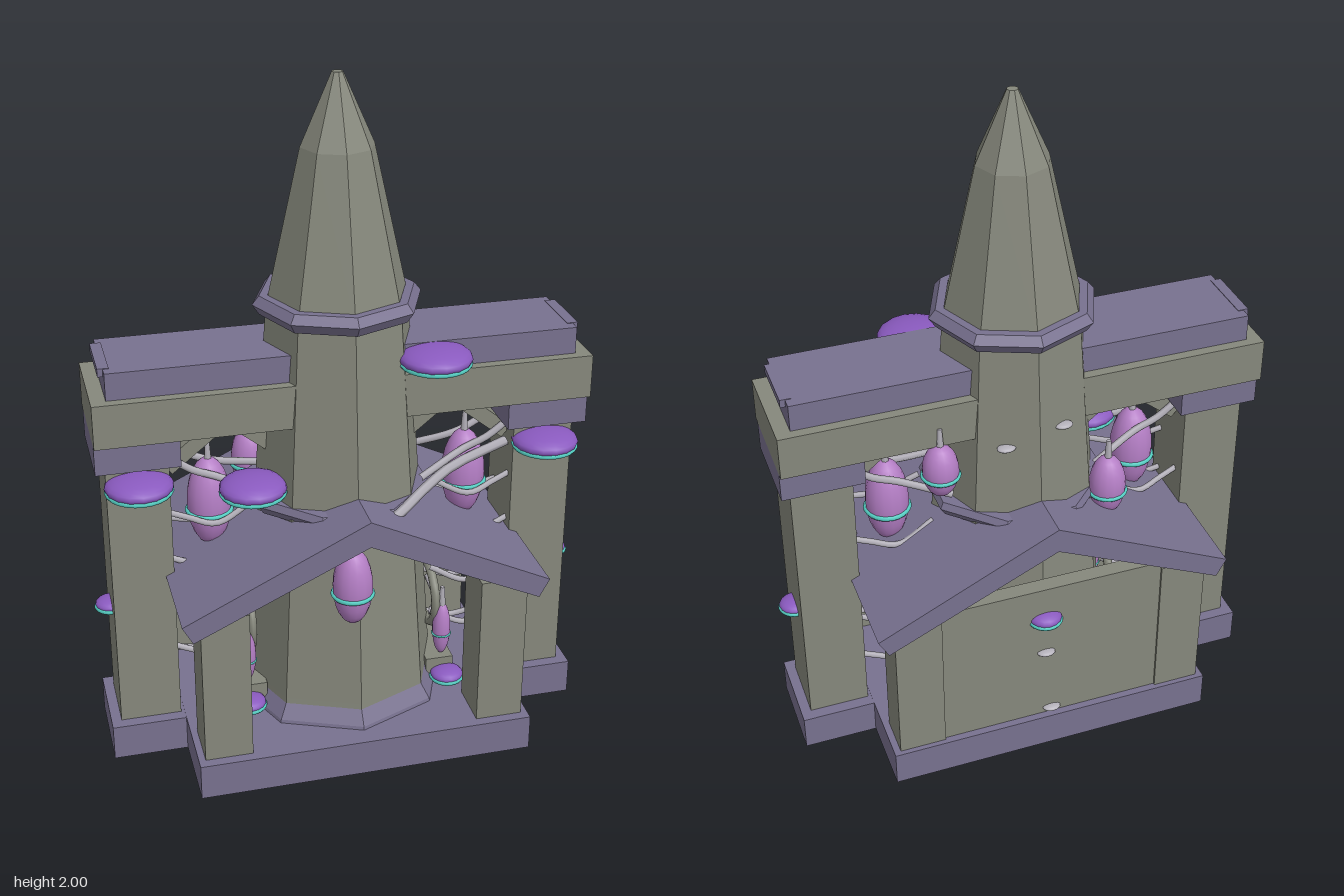
import * as THREE from 'three';

const mat = (name, color) => Object.assign(new THREE.MeshStandardMaterial({ color }), { name });

export function createModel() {
  const root = new THREE.Group();
  root.name = 'overgrownShrine';
  const stone = mat('stone', 0x86887c);
  const slate = mat('slate', 0x78718f);
  const violet = mat('violetCap', 0x8a5abf);
  const pink = mat('pinkPod', 0xb57fc6);
  const teal = mat('tealGlow', 0x55cfc4);
  const pale = mat('paleVine', 0xb3b0b9);

  const add = (name, geo, material, x = 0, y = 0, z = 0, parent = root) => {
    const m = new THREE.Mesh(geo, material);
    m.name = name;
    m.position.set(x, y, z);
    parent.add(m);
    return m;
  };
  // Box given by its minimum and maximum corners
  const box = (name, material, x0, x1, y0, y1, z0, z1) =>
    add(name, new THREE.BoxGeometry(x1 - x0, y1 - y0, z1 - z0), material,
      (x0 + x1) / 2, (y0 + y1) / 2, (z0 + z1) / 2);
  // Faceted eight-sided solid from [radius, height] pairs
  const octagon = (name, material, profile, turn = 0) => {
    const pts = profile.map(([r, y]) => new THREE.Vector2(r, y));
    const g = new THREE.LatheGeometry(pts, 8).toNonIndexed();
    g.computeVertexNormals();
    add(name, g, material).rotation.y = turn;
  };
  const ellipsoid = (rx, ry, rz) => new THREE.SphereGeometry(1, 16, 12).scale(rx, ry, rz);
  const vine = (name, points, radius = 0.01) => {
    const curve = new THREE.CatmullRomCurve3(points.map(p => new THREE.Vector3(...p)));
    add(name, new THREE.TubeGeometry(curve, 14, radius, 6), pale);
  };
  // Flat shelf fungus with a glowing band
  const fungus = (x, y, z, r, h) => {
    const g = new THREE.Group();
    g.name = 'shelfFungus';
    g.position.set(x, y, z);
    add('fungusCap', ellipsoid(r, h, r), violet, 0, 0, 0, g);
    const band = new THREE.TorusGeometry(r * 0.93, 0.007, 6, 24).rotateX(Math.PI / 2);
    add('fungusBand', band, teal, 0, -h * 0.4, 0, g);
    root.add(g);
  };
  // Hanging pod with a glowing band and a stem
  const pod = (x, y, z, r, h) => {
    const g = new THREE.Group();
    g.name = 'hangingPod';
    g.position.set(x, y, z);
    add('podBody', ellipsoid(r, h, r), pink, 0, 0, 0, g);
    const band = new THREE.TorusGeometry(r * 0.98, r * 0.12, 6, 24).rotateX(Math.PI / 2);
    add('podBand', band, teal, 0, -h * 0.2, 0, g);
    add('podStem', new THREE.CylinderGeometry(0.007, 0.012, 0.07, 6), pale, 0, h + 0.02, 0, g);
    root.add(g);
  };

  // Central tower with spire and collars
  octagon('tower', stone, [[0, 0.1], [0.3, 0.12], [0.295, 0.18], [0.25, 0.78],
    [0.207, 1.35], [0.105, 1.8], [0.016, 2], [0, 2]]);
  octagon('towerSkirt', slate, [[0, 0.1], [0.33, 0.1], [0.325, 0.12], [0.285, 0.18], [0, 0.18]]);
  octagon('upperCollar', slate, [[0.2, 1.33], [0.225, 1.33], [0.245, 1.36], [0.225, 1.385], [0.2, 1.385]]);
  octagon('lowerCollar', slate, [[0.23, 0.75], [0.265, 0.755], [0.281, 0.78], [0.27, 0.8], [0.23, 0.8]],
    Math.PI / 8);

  // Base, back wall and lintel
  box('base', slate, -0.5, 0.5, 0, 0.11, -0.37, 0.385);
  box('backWall', stone, -0.35, 0.35, 0.11, 0.6, -0.348, -0.3);
  box('lintel', stone, -0.72, 0.72, 1.04, 1.17, -0.155, 0.155);

  // Gabled roof
  const gable = new THREE.Shape([[0, 0.843], [-0.535, 0.585], [-0.505, 0.53], [0, 0.765],
    [0.505, 0.53], [0.535, 0.585]].map(p => new THREE.Vector2(...p)));
  add('gableRoof', new THREE.ExtrudeGeometry(gable, { depth: 0.77, bevelEnabled: false }),
    slate, 0, 0, -0.385);

  for (const s of [-1, 1]) {
    const sideBox = (name, m, x0, x1, ...rest) =>
      box(name, m, Math.min(s * x0, s * x1), Math.max(s * x0, s * x1), ...rest);
    // Great side pillars
    sideBox('pillarFoot', slate, 0.49, 0.72, 0, 0.109, -0.135, 0.135);
    sideBox('pillar', stone, 0.51, 0.69, 0.1, 0.96, -0.1, 0.1);
    sideBox('pillarCapital', slate, 0.48, 0.72, 0.95, 1.04, -0.132, 0.132);
    sideBox('lintelCap', slate, 0.15, 0.677, 1.17, 1.25, -0.125, 0.125);
    sideBox('lintelCapEnd', slate, 0.66, 0.692, 1.228, 1.252, -0.092, 0.092);

    // Corner posts under the roof
    for (const [z0, z1] of [[0.21, 0.355], [-0.355, -0.23]])
      sideBox('cornerPost', stone, 0.34, 0.48, 0.1, 0.58, z0, z1);

    // Diagonal braces under the lintel
    for (const d of [-1, 1]) {
      const brace = add('brace', new THREE.BoxGeometry(0.24, 0.045, 0.08), stone,
        s * (0.33 + d * 0.085), 0.975, 0);
      brace.rotation.z = -s * d * 0.68;
    }

    // Round side niche with its sill
    add('nicheRing', new THREE.TorusGeometry(0.1, 0.014, 6, 20).rotateY(Math.PI / 2),
      stone, s * 0.285, 0.36, 0);
    sideBox('nicheSill', stone, 0.25, 0.335, 0.1, 0.19, -0.12, 0.13);

    // Ribs of vine between pillar and tower
    for (let i = 0; i < 8; i++) {
      const y = 0.23 + i * 0.075, z = i % 2 ? 0.06 : -0.05;
      vine('vineRib', [[s * 0.52, y + 0.02, z], [s * 0.46, y, z * 1.2],
        [s * 0.38, y - 0.02, z * 1.5], [s * 0.27, y + 0.03, z * 1.2]], 0.009);
    }
    for (const z of [-0.05, 0.06])
      vine('upperVine', [[s * 0.52, 0.96, z], [s * 0.44, 0.9, z], [s * 0.37, 0.87, z],
        [s * 0.22, 0.82, z * 2]], 0.011);

    // Fungi on the pillars
    fungus(s * 0.6, 0.9, 0.12, 0.098, 0.035);
    fungus(s * 0.69, 0.46, 0, 0.045, 0.02);
    fungus(s * 0.51, 0.46, 0, 0.045, 0.02);
    fungus(s * 0.31, 0.145, 0.15, 0.05, 0.022);

    // Pods at the sides
    pod(s * 0.387, 0.77, 0.01, 0.065, 0.14);
    pod(s * 0.305, 0.28, 0.1, 0.028, 0.09);
  }

  // Remaining fungi
  fungus(-0.278, 0.857, 0.125, 0.098, 0.036);
  fungus(0.245, 1.215, 0.155, 0.106, 0.036);
  fungus(0.02, 0.49, -0.335, 0.05, 0.024);

  // Remaining pods
  pod(-0.035, 0.61, 0.32, 0.058, 0.12);
  pod(0.27, 0.96, -0.155, 0.053, 0.085);
  pod(-0.23, 0.8, -0.18, 0.055, 0.1);

  // Long vine sweeping across the tower front
  vine('frontVine', [[-0.36, 0.56, 0.24], [-0.2, 0.62, 0.26], [-0.06, 0.7, 0.29], [0.08, 0.77, 0.275],
    [0.22, 0.83, 0.19], [0.33, 0.84, 0.1], [0.5, 0.88, 0.06]], 0.015);
  vine('sideVine', [[0.32, 0.22, -0.06], [0.36, 0.24, -0.13], [0.36, 0.27, -0.22]], 0.012);

  // Pale scales on tower and wall
  for (const [x, y, z] of [[0.09, 1.02, -0.2], [-0.08, 1.06, -0.2], [0.02, 0.36, -0.35], [0, 0.13, -0.35]])
    add('paleScale', ellipsoid(0.028, 0.009, 0.02), pale, x, y, z);

  return root;
}
